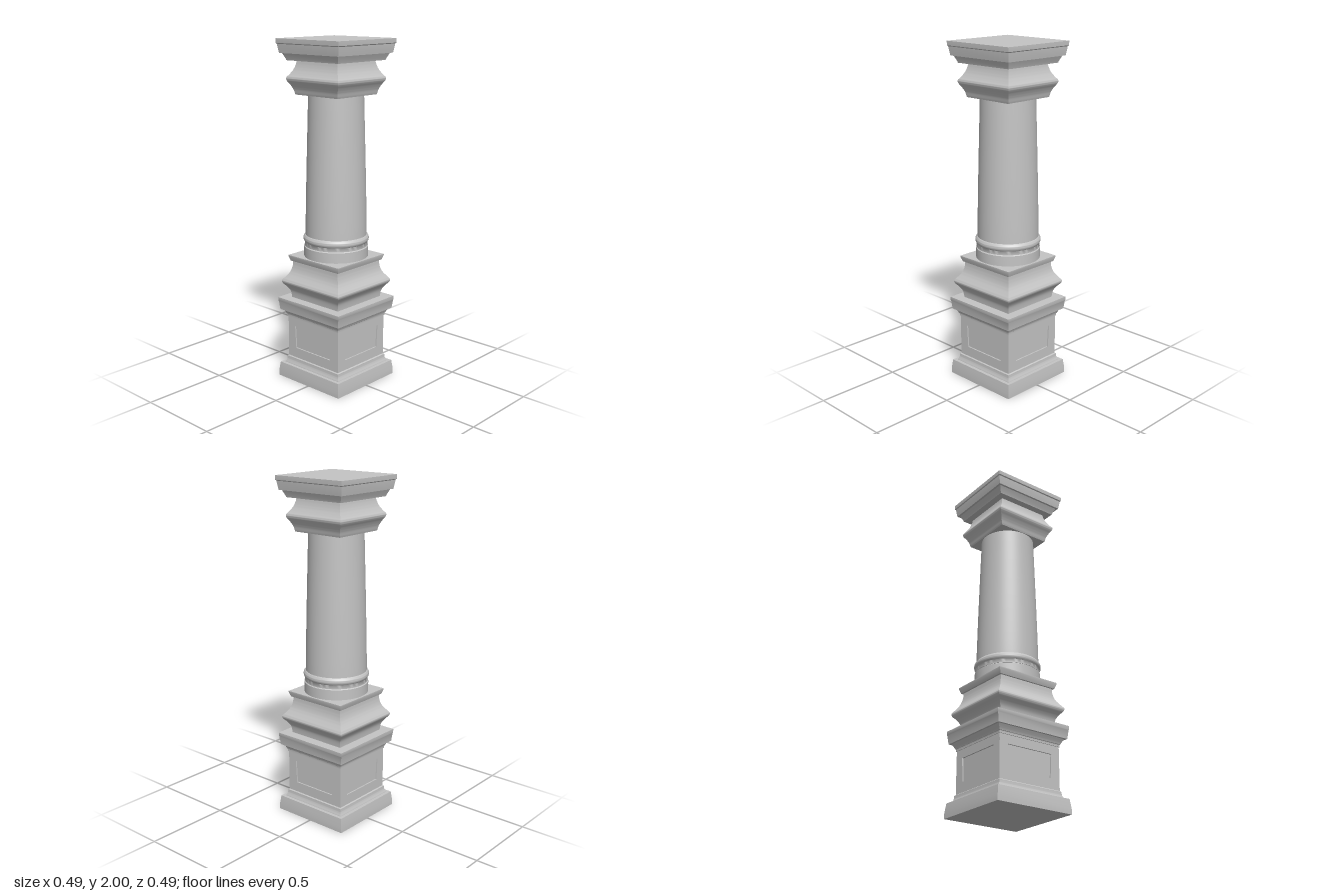
import * as THREE from 'three';
import { toCreasedNormals } from 'three/addons/utils/BufferGeometryUtils.js';

const stone = new THREE.MeshStandardMaterial({ color: 0xc4c4c4 });
stone.name = 'stone grey';

const CREASE = 0.6;

// Smooth run of profile points through a few [halfWidth, y] knots
function curve(knots, n = 20) {
  const spline = new THREE.SplineCurve(knots.map(([r, y]) => new THREE.Vector2(r, y)));
  return spline.getPoints(n).map((p) => [p.x, p.y]);
}

// Profile turned about the y axis, bottom to top, closed at both ends
function turned(name, profile, sides, scale, start) {
  const closed = [[0, profile[0][1]], ...profile, [0, profile[profile.length - 1][1]]];
  const points = closed.map(([r, y]) => new THREE.Vector2(r * scale, y));
  const geometry = toCreasedNormals(new THREE.LatheGeometry(points, sides, start), CREASE);
  const mesh = new THREE.Mesh(geometry, stone);
  mesh.name = name;
  return mesh;
}

// Four-sided moulding with mitred corners; radii are half widths
const square = (name, profile) => turned(name, profile, 4, Math.SQRT2, Math.PI / 4);
const round = (name, profile) => turned(name, profile, 64, 1, 0);

// Face of the pedestal with a panel opening cut through it
function panelFrame(bottom, top) {
  const w = 0.1999;
  const shape = new THREE.Shape();
  shape.moveTo(-w, bottom).lineTo(w, bottom).lineTo(w, top).lineTo(-w, top).closePath();
  const hole = new THREE.Path();
  hole.moveTo(-0.138, 0.19).lineTo(-0.146, 0.325).lineTo(0.146, 0.325).lineTo(0.138, 0.19).closePath();
  shape.holes.push(hole);
  const geometry = new THREE.ExtrudeGeometry(shape, { depth: 0.008, bevelEnabled: false });
  geometry.translate(0, 0, 0.192);
  return geometry;
}

export function createModel() {
  const model = new THREE.Group();
  model.name = 'column';

  // Foot
  model.add(square('plinth', [
    [0.243, 0], [0.243, 0.03], [0.236, 0.085], [0.216, 0.085],
    ...curve([[0.215, 0.09], [0.208, 0.105], [0.206, 0.125]], 8), [0.2, 0.13],
  ]));

  // Panelled die: core plus four framed faces
  const die = new THREE.Group();
  die.name = 'pedestalDie';
  die.add(square('pedestalCore', [[0.192, 0.125], [0.192, 0.385]]));
  const frame = panelFrame(0.125, 0.385);
  for (let i = 0; i < 4; i++) {
    const mesh = new THREE.Mesh(frame, stone);
    mesh.name = 'panelFrame';
    mesh.rotation.y = (i * Math.PI) / 2;
    die.add(mesh);
  }
  model.add(die);

  // Cornice of the pedestal
  model.add(square('pedestalCornice', [
    [0.204, 0.375], [0.204, 0.388],
    ...curve([[0.207, 0.39], [0.212, 0.402], [0.222, 0.42]], 8),
    [0.234, 0.42], [0.24, 0.47], [0.242, 0.474], [0.242, 0.495],
  ]));

  // Swelling square base under the shaft
  model.add(square('flaredBase', [
    [0.184, 0.495],
    ...curve([[0.184, 0.5], [0.19, 0.535], [0.205, 0.562], [0.222, 0.582], [0.226, 0.6],
      [0.212, 0.62], [0.192, 0.65], [0.181, 0.685], [0.178, 0.72]], 36),
    [0.188, 0.72], [0.198, 0.748], [0.198, 0.755],
  ]));

  // Round shaft with its drum and ring
  model.add(round('shaftDrum', [[0.187, 0.75], [0.187, 0.815], [0.18, 0.82], [0.18, 0.826]]));
  model.add(round('shaftRing', [
    [0.183, 0.82], [0.183, 0.843],
    ...curve([[0.185, 0.845], [0.19, 0.855], [0.19, 0.868], [0.185, 0.878], [0.178, 0.884]], 14),
  ]));
  model.add(round('shaft', curve([[0.178, 0.82], [0.177, 0.95], [0.17, 1.25], [0.157, 1.7]], 12)));

  // Square capital echoing the base
  model.add(square('capital', [
    [0.161, 1.69],
    ...curve([[0.162, 1.692], [0.169, 1.72], [0.182, 1.747], [0.195, 1.768], [0.197, 1.785],
      [0.184, 1.803], [0.168, 1.83], [0.158, 1.86], [0.154, 1.885]], 36),
  ]));

  // Top slab
  model.add(square('abacus', [
    [0.195, 1.88], [0.198, 1.89], [0.212, 1.92], [0.224, 1.92],
    [0.232, 1.97], [0.237, 1.975], [0.237, 2],
  ]));

  return model;
}
